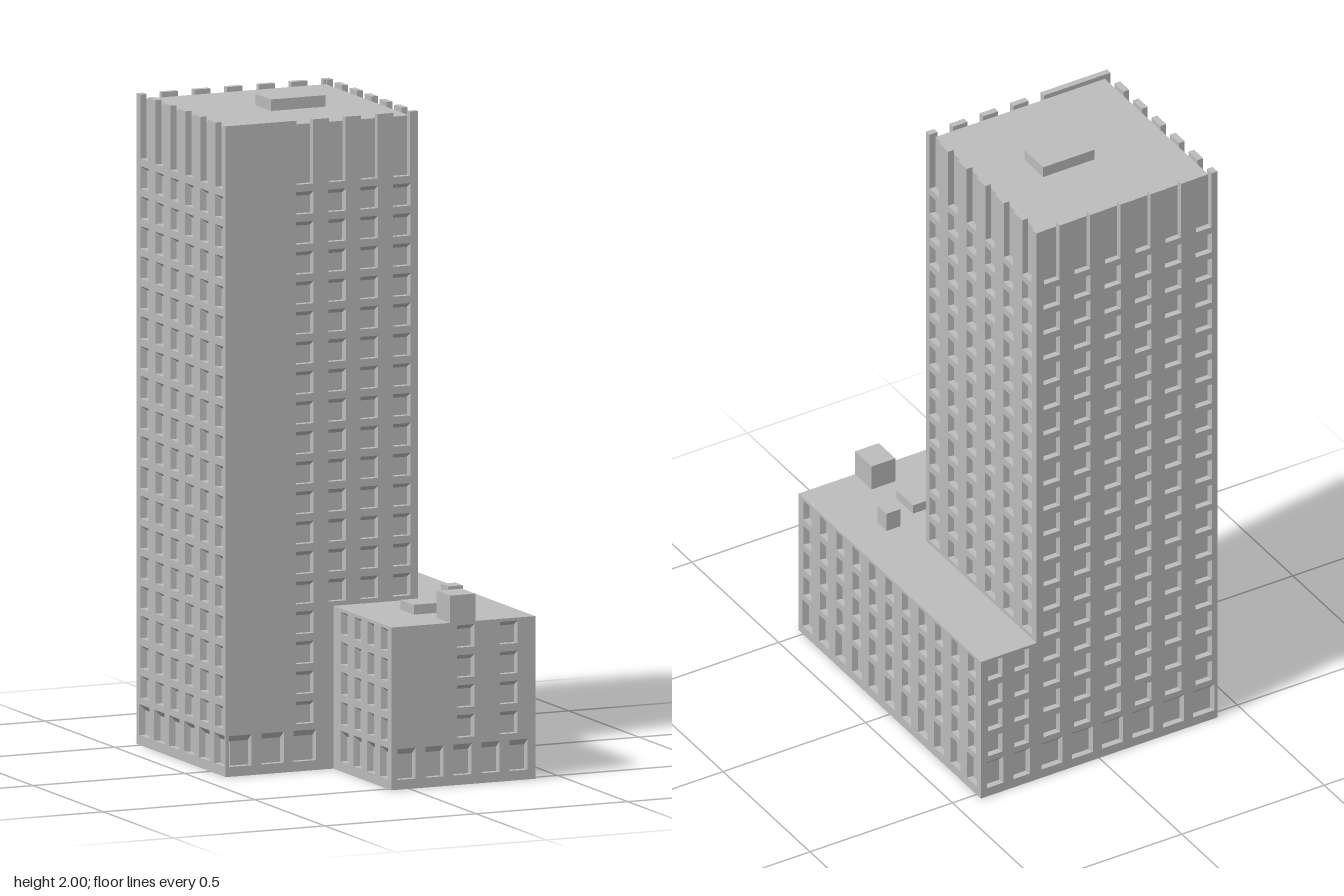
import * as THREE from 'three';
import { mergeGeometries } from 'three/addons/utils/BufferGeometryUtils.js';

const PODIUM = 0.495, LEDGE = 1.785, ROOF = 1.965, CROWN = 1.98;
const FIN = 0.02, GAP = 0.027; // fin depth, half width of a crown gap
const T = { x0: -0.415, x1: 0.22, z0: -0.525, z1: 0.11 }; // tower footprint

const concrete = new THREE.MeshStandardMaterial({ color: 0xbcbcbc });
concrete.name = 'concreteGrey';

const series = (start, step, n) => Array.from({ length: n }, (_, i) => start + step * i);
const neg = (list) => list.map((v) => -v);
const rect = (a, b, y0, y1) => [[a, y0], [b, y0], [b, y1], [a, y1]];
const toPoints = (list) => list.map(([x, y]) => new THREE.Vector2(x, y));

// window positions shared by the facades
const towerX = series(-0.367, 0.1066, 6);
const towerZ = series(-0.47, 0.1066, 6);
const podiumZ = series(-0.473, 0.0946, 11);
const floorTops = series(0.212, 0.0912, 18);

// windows as [centre, width, bottom, top]
const upper = (cols, from, to, w = 0.058) =>
  cols.flatMap((u) => floorTops.slice(from, to).map((t) => [u, w, t - 0.068, t]));
const ground = (cols, w) => cols.map((u) => [u, w, 0.03, 0.124]);

// recess with a sloping head and slightly splayed sides
function recess([u, w, y0, y1]) {
  const d = -0.02, a = u - w / 2, b = u + w / 2, s = 0.003;
  const drop = (y1 - y0) * 0.21;
  const outer = [[a, y0, 0], [b, y0, 0], [b, y1, 0], [a, y1, 0]];
  const inner = [[a + s, y0, d], [b - s, y0, d], [b - s, y1 - drop, d], [a + s, y1 - drop, d]];
  const pos = [];
  const quad = (p, q, r, t) => pos.push(...p, ...q, ...r, ...p, ...r, ...t);
  quad(...inner);
  for (let i = 0; i < 4; i++) {
    const j = (i + 1) % 4;
    quad(outer[i], outer[j], inner[j], inner[i]);
  }
  const g = new THREE.BufferGeometry();
  g.setAttribute('position', new THREE.Float32BufferAttribute(pos, 3));
  g.computeVertexNormals();
  return g;
}

// flat facade with recessed windows, at a distance along its outward normal
function facade(name, outline, windows, distance, angle) {
  const shape = new THREE.Shape(toPoints(outline));
  for (const [u, w, y0, y1] of windows)
    shape.holes.push(new THREE.Path(toPoints(rect(u - w / 2, u + w / 2, y0, y1).reverse())));
  const face = new THREE.ShapeGeometry(shape).toNonIndexed();
  face.deleteAttribute('uv');
  const g = mergeGeometries([face, ...windows.map(recess)]);
  g.translate(0, 0, distance).rotateY(angle);
  return named(name, g);
}

function named(name, geometry) {
  const mesh = new THREE.Mesh(geometry, concrete);
  mesh.name = name;
  return mesh;
}

function block(name, x0, x1, y0, y1, z0, z1) {
  const g = new THREE.BoxGeometry(x1 - x0, y1 - y0, z1 - z0);
  g.translate((x0 + x1) / 2, (y0 + y1) / 2, (z0 + z1) / 2);
  return named(name, g);
}

// solid stretches between the gaps of one crown side
function stretches(start, end, gaps) {
  const cuts = [start, ...gaps.flatMap((g) => [g - GAP, g + GAP]), end];
  const out = [];
  for (let i = 0; i < cuts.length; i += 2) out.push([cuts[i], cuts[i + 1]]);
  return out;
}

export function createModel() {
  const model = new THREE.Group();
  model.name = 'towerBlock';
  const H = Math.PI / 2;

  // tower walls
  model.add(facade('towerFront',
    [[T.x0, 0], [-0.06, 0], [-0.06, PODIUM], [T.x1, PODIUM], [T.x1, LEDGE], [T.x0, LEDGE]],
    [...upper(towerX.slice(2, 3), 0, 4), ...upper(towerX.slice(2), 4, 18),
      ...ground(towerX.slice(0, 3), 0.074)], T.z1, 0));
  model.add(facade('towerLeftSide', rect(-T.z1, -T.z0, PODIUM, LEDGE),
    upper(neg(towerZ), 4, 18), T.x1, H));
  model.add(facade('towerRightSide', rect(T.z0, T.z1, 0, LEDGE),
    [...upper(towerZ, 0, 18), ...ground(towerZ, 0.074)], -T.x0, -H));

  // back wall, shared by tower and podium
  const backStrip = [-0.272, -0.365];
  model.add(facade('backWall',
    [[-0.415, 0], [0.415, 0], [0.415, LEDGE], [-0.22, LEDGE], [-0.22, PODIUM], [-0.415, PODIUM]],
    [...upper(neg(towerX), 0, 18), ...ground(neg(towerX), 0.074),
      ...upper(backStrip, 0, 4, 0.05), ...ground(backStrip, 0.058)], 0.525, Math.PI));

  // podium walls
  model.add(facade('podiumFront', rect(-0.06, 0.415, 0, PODIUM),
    [...upper([0.185, 0.328], 0, 4), ...ground(series(-0.01, 0.0925, 5), 0.06)], 0.525, 0));
  model.add(facade('podiumLeftSide', rect(-0.525, 0.525, 0, PODIUM),
    [...upper(podiumZ, 0, 4, 0.048), ...ground(podiumZ, 0.056)], 0.415, H));
  const innerZ = podiumZ.slice(7);
  model.add(facade('podiumInnerSide', rect(0.11, 0.525, 0, PODIUM),
    [...upper(innerZ, 0, 4, 0.048), ...ground(innerZ, 0.056)], 0.06, -H));

  // podium roof and underside (plan y is -z for the roof, +z for the floor)
  const roofPlan = [[-0.06, -0.525], [0.415, -0.525], [0.415, 0.525], [0.22, 0.525],
    [0.22, -0.11], [-0.06, -0.11]];
  model.add(named('podiumRoof', new THREE.ShapeGeometry(new THREE.Shape(toPoints(roofPlan)))
    .rotateX(-H).translate(0, PODIUM, 0)));
  const floorPlan = [[-0.415, -0.525], [0.415, -0.525], [0.415, 0.525], [-0.06, 0.525],
    [-0.06, 0.11], [-0.415, 0.11]];
  model.add(named('underside', new THREE.ShapeGeometry(new THREE.Shape(toPoints(floorPlan)))
    .rotateX(H)));

  // crown: ledge, roof core and fins on all four sides
  const crown = new THREE.Group();
  crown.name = 'crown';
  crown.add(named('crownLedge', new THREE.PlaneGeometry(T.x1 - T.x0, T.z1 - T.z0)
    .rotateX(-H).translate((T.x0 + T.x1) / 2, LEDGE, (T.z0 + T.z1) / 2)));
  crown.add(block('towerRoof', T.x0 + FIN, T.x1 - FIN, LEDGE, ROOF, T.z0 + FIN, T.z1 - FIN));
  for (const [a, b] of stretches(T.x0, T.x1, towerX.slice(2)))
    crown.add(block('frontFin', a, b, LEDGE, CROWN, T.z1 - FIN, T.z1));
  for (const [a, b] of stretches(T.x0, T.x1, towerX))
    crown.add(block('backFin', a, b, LEDGE, CROWN, T.z0, T.z0 + FIN));
  for (const [a, b] of stretches(T.z0, T.z1, towerZ)) {
    crown.add(block('leftFin', T.x1 - FIN, T.x1, LEDGE, CROWN, a, b));
    crown.add(block('rightFin', T.x0, T.x0 + FIN, LEDGE, CROWN, a, b));
  }
  model.add(crown);

  // rooftop plant boxes
  model.add(block('towerPlantRoom', -0.145, 0.035, ROOF, 2, -0.26, -0.152));
  model.add(block('podiumStairHead', 0.133, 0.217, PODIUM, 0.578, 0.43, 0.525));
  model.add(block('podiumLowUnit', 0.095, 0.178, PODIUM, 0.525, 0.255, 0.35));
  model.add(block('podiumVent', 0.245, 0.294, PODIUM, 0.557, 0.218, 0.27));
  return model;
}
